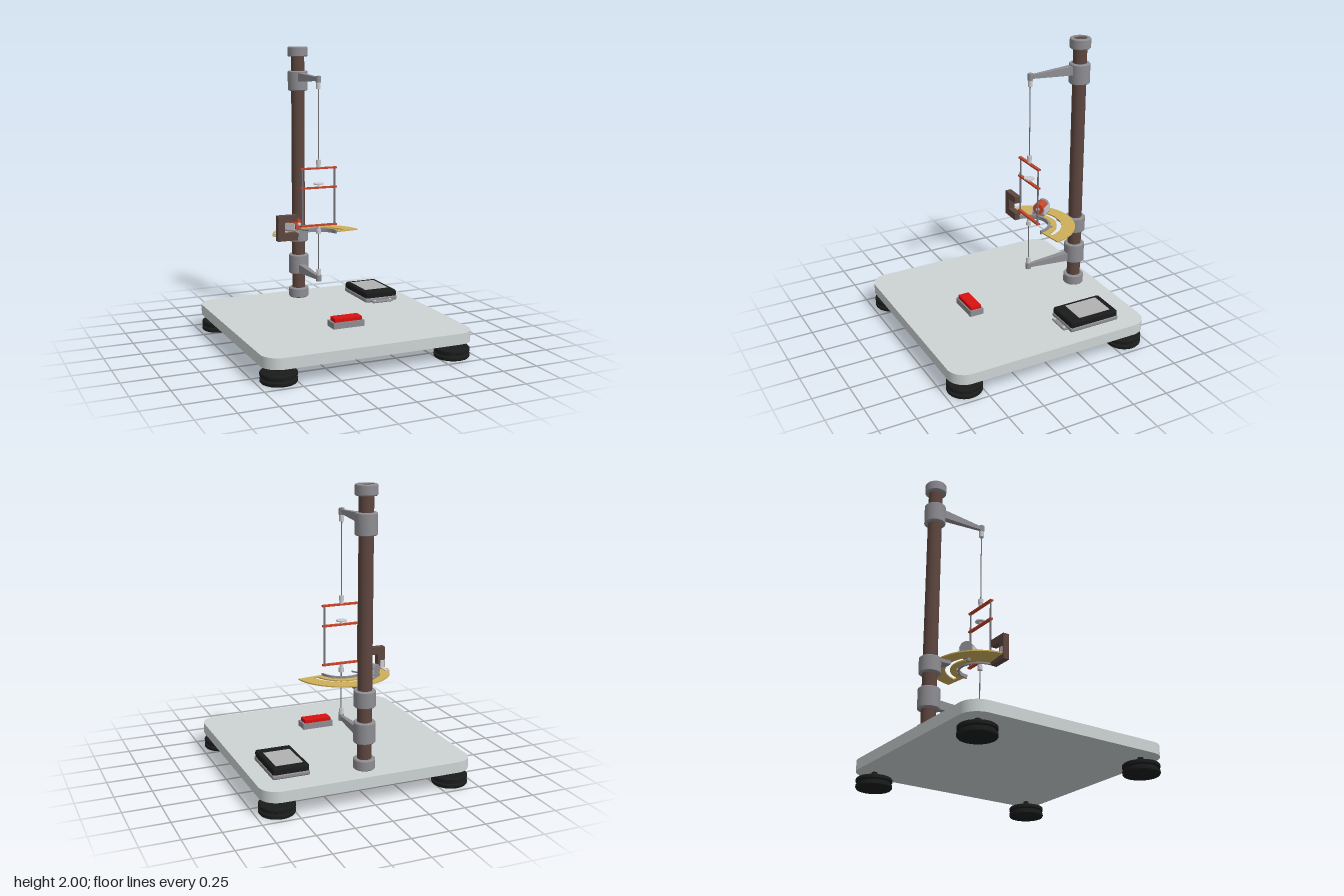
import * as THREE from 'three';
import { RoundedBoxGeometry } from 'three/addons/geometries/RoundedBoxGeometry.js';
import { toCreasedNormals } from 'three/addons/utils/BufferGeometryUtils.js';

const mat = (color) => new THREE.MeshStandardMaterial({ color, side: THREE.DoubleSide });
const M = {
  base: mat(0xcdd3d4), grey: mat(0x8e8d92), light: mat(0xcccccc), pole: mat(0x5e463f),
  black: mat(0x1a1b1b), red: mat(0xda1010), bar: mat(0xc8452a), gold: mat(0xcfae5a),
  screen: mat(0xb2b2b2), wire: mat(0x77757a),
};
const POLE_Z = -0.572, WIRE_Z = -0.196, DEG = Math.PI / 180;

export function createModel() {
  const root = new THREE.Group();
  const add = (name, geo, material, x = 0, y = 0, z = 0, parent = root) => {
    const m = new THREE.Mesh(geo, material);
    m.name = name;
    m.position.set(x, y, z);
    parent.add(m);
    return m;
  };
  const box = (name, material, x0, x1, y0, y1, z0, z1, r = 0) => add(name,
    r ? new RoundedBoxGeometry(x1 - x0, y1 - y0, z1 - z0, 3, r) : new THREE.BoxGeometry(x1 - x0, y1 - y0, z1 - z0),
    material, (x0 + x1) / 2, (y0 + y1) / 2, (z0 + z1) / 2);
  const cyl = (name, material, r, y0, y1, x, z, rTop = r) =>
    add(name, new THREE.CylinderGeometry(rTop, r, y1 - y0, 32), material, x, (y0 + y1) / 2, z);
  const lathe = (pts) => toCreasedNormals(
    new THREE.LatheGeometry(pts.map((p) => new THREE.Vector2(...p)), 40), 0.6);
  // horizontal plate from a shape drawn in (x, -z), its underside at local y = 0
  const plate = (shape, depth) => {
    const g = new THREE.ExtrudeGeometry(shape, { depth, bevelEnabled: false, curveSegments: 40 });
    return toCreasedNormals(g.rotateX(-Math.PI / 2), 0.5);
  };
  const arcBand = (r0, r1, a0, a1, S = THREE.Shape) => {
    const s = new S();
    s.absarc(0, 0, r1, a0 * DEG, a1 * DEG, false);
    s.absarc(0, 0, r0, a1 * DEG, a0 * DEG, true);
    s.closePath();
    return s;
  };

  // base board with rounded corners
  const h = 0.726, c = h - 0.12, board = new THREE.Shape();
  [[c, c, 0], [-c, c, 90], [-c, -c, 180], [c, -c, 270]].forEach(([x, y, a]) =>
    board.absarc(x, y, 0.12, a * DEG, (a + 90) * DEG, false));
  add('baseBoard', plate(board, 0.073), M.base, 0, 0.112, 0);

  // levelling feet with a waist groove
  const footGeo = lathe([[0, 0], [0.112, 0], [0.118, 0.008], [0.118, 0.024], [0.106, 0.03],
    [0.106, 0.04], [0.118, 0.046], [0.118, 0.062], [0.11, 0.07], [0, 0.07]]);
  for (const x of [-0.606, 0.606]) for (const z of [-0.606, 0.606]) {
    add('foot', footGeo, M.black, x, 0, z);
    cyl('footStem', M.black, 0.018, 0.06, 0.115, x, z);
  }

  // upright pole and its collars
  cyl('pole', M.pole, 0.047, 0.185, 1.992, 0, POLE_Z);
  [['footCollar', 0.185, 0.255], ['lowerArmCollar', 0.362, 0.502], ['plateCollar', 0.6, 0.71],
    ['upperArmCollar', 1.69, 1.83], ['topCap', 1.93, 2]].forEach(([name, y0, y1]) => {
    const b = 0.006, r = 0.071, e = y1 - y0;
    add(name, lathe([[0.046, 0], [r - b, 0], [r, b], [r, e - b], [r - b, e], [0.046, e], [0.046, 0]]),
      M.grey, 0, y0, POLE_Z);
  });

  // tapered arms carrying the wire clamps; dir = +1 when the clamp points up
  const arm = (name, y, dir) => {
    const len = 0.31, g = new THREE.BoxGeometry(1, 1, len);
    const p = g.attributes.position;
    for (let i = 0; i < p.count; i++) {
      const tip = p.getZ(i) > 0;
      p.setXY(i, p.getX(i) * (tip ? 0.022 : 0.048), p.getY(i) * (tip ? 0.026 : 0.062));
    }
    g.computeVertexNormals();
    add(name + 'Arm', g, M.grey, 0, y, WIRE_Z - 0.01 - len / 2);
    cyl(name + 'ArmBoss', M.grey, 0.019, y - 0.022, y + 0.022, 0, WIRE_Z);
    const a = y + dir * 0.022, b = y + dir * 0.065;
    cyl(name + 'Clamp', M.light, 0.016, Math.min(a, b), Math.max(a, b), 0, WIRE_Z);
  };
  arm('upper', 1.786, -1);
  arm('lower', 0.404, 1);
  cyl('upperWire', M.wire, 0.0035, 1.23, 1.73, 0, WIRE_Z);
  cyl('lowerWire', M.wire, 0.0035, 0.46, 0.73, 0, WIRE_Z);

  // hanging frame: three crossbars, two rods, clamps and a small disc
  for (const y of [1.178, 1.043, 0.78]) box('crossbar', M.bar, -0.134, 0.134, y - 0.006, y + 0.006, WIRE_Z - 0.011, WIRE_Z + 0.011);
  for (const x of [-0.12, 0.12]) cyl('frameRod', M.wire, 0.006, 0.775, 1.184, x, WIRE_Z);
  cyl('frameTopClamp', M.light, 0.013, 1.184, 1.21, 0, WIRE_Z);
  cyl('frameTopClampHead', M.light, 0.017, 1.205, 1.237, 0, WIRE_Z);
  cyl('frameBottomClamp', M.light, 0.013, 0.745, 0.775, 0, WIRE_Z);
  cyl('frameBottomClampHead', M.light, 0.017, 0.72, 0.75, 0, WIRE_Z);
  cyl('disc', M.light, 0.035, 1.066, 1.074, 0, WIRE_Z);
  cyl('discStem', M.light, 0.008, 1.048, 1.068, 0, WIRE_Z);

  // angle plate with a curved slot, its inner rim and bracket
  const sector = arcBand(0.153, 0.32, 7.5, 172.5);
  sector.holes.push(arcBand(0.194, 0.226, 15, 130, THREE.Path));
  add('anglePlate', plate(sector, 0.008), M.gold, 0, 0.714, WIRE_Z);
  add('innerRim', plate(arcBand(0.134, 0.146, 5, 178), 0.026), M.grey, 0, 0.706, WIRE_Z);
  for (const a of [48, 132]) {
    const tab = add('rimTab', new THREE.BoxGeometry(0.03, 0.008, 0.018), M.grey,
      0.152 * Math.cos(a * DEG), 0.725, WIRE_Z - 0.152 * Math.sin(a * DEG));
    tab.rotation.y = a * DEG;
  }
  box('plateBracket', M.grey, -0.035, 0.035, 0.69, 0.714, -0.53, -0.44);

  // coil on a carriage, its axis pointing at the wire
  const coil = new THREE.Group();
  coil.name = 'coil';
  coil.position.set(-0.123, 0.77, -0.36);
  coil.rotation.y = Math.atan2(0.123, WIRE_Z + 0.36);
  root.add(coil);
  const along = (name, material, r, z0, z1, y = 0) =>
    add(name, new THREE.CylinderGeometry(r, r, z1 - z0, 32).rotateX(Math.PI / 2), material, 0, y, (z0 + z1) / 2, coil);
  along('coilWinding', M.bar, 0.04, -0.036, 0.042);
  along('coilCase', M.grey, 0.043, -0.06, -0.036);
  along('coilCore', M.light, 0.012, 0.04, 0.055);
  along('coilPointer', M.wire, 0.005, 0.04, 0.125, -0.035);
  add('coilCradle', new THREE.BoxGeometry(0.09, 0.018, 0.1), M.grey, 0, -0.039, -0.01, coil);
  for (const s of [-1, 1]) add('coilSidePlate', new THREE.BoxGeometry(0.006, 0.05, 0.1), M.light, s * 0.045, -0.012, -0.01, coil);
  add('carriageKnob', new THREE.CylinderGeometry(0.012, 0.012, 0.024, 24), M.grey, 0, -0.064, -0.01, coil);

  // C-shaped magnet at the end of the plate
  const C = new THREE.Shape([[-0.305, 0.69], [-0.163, 0.69], [-0.163, 0.742], [-0.255, 0.742],
    [-0.255, 0.818], [-0.163, 0.818], [-0.163, 0.866], [-0.305, 0.866]].map((p) => new THREE.Vector2(...p)));
  add('magnet', new THREE.ExtrudeGeometry(C, { depth: 0.044, bevelEnabled: false }), M.pole, 0, 0, -0.222);
  box('magnetBracketFoot', M.light, -0.297, -0.272, 0.722, 0.728, -0.296, -0.222);
  box('magnetBracketBack', M.light, -0.297, -0.272, 0.722, 0.775, -0.228, -0.222);

  // display unit with mounting tab
  box('displayBase', M.grey, 0.36, 0.612, 0.185, 0.218, -0.553, -0.182, 0.012);
  box('displayBody', M.black, 0.364, 0.608, 0.208, 0.259, -0.549, -0.186, 0.014);
  box('displayScreen', M.screen, 0.394, 0.576, 0.25, 0.261, -0.506, -0.265);
  box('displayTab', M.grey, 0.405, 0.564, 0.185, 0.199, -0.2, -0.152, 0.006);
  for (const x of [0.425, 0.544]) cyl('tabScrew', M.light, 0.009, 0.195, 0.204, x, -0.166);

  // push button
  box('buttonHousing', M.grey, -0.111, 0.111, 0.185, 0.226, 0.216, 0.316);
  box('button', M.red, -0.098, 0.098, 0.22, 0.252, 0.226, 0.306, 0.004);

  return root;
}
